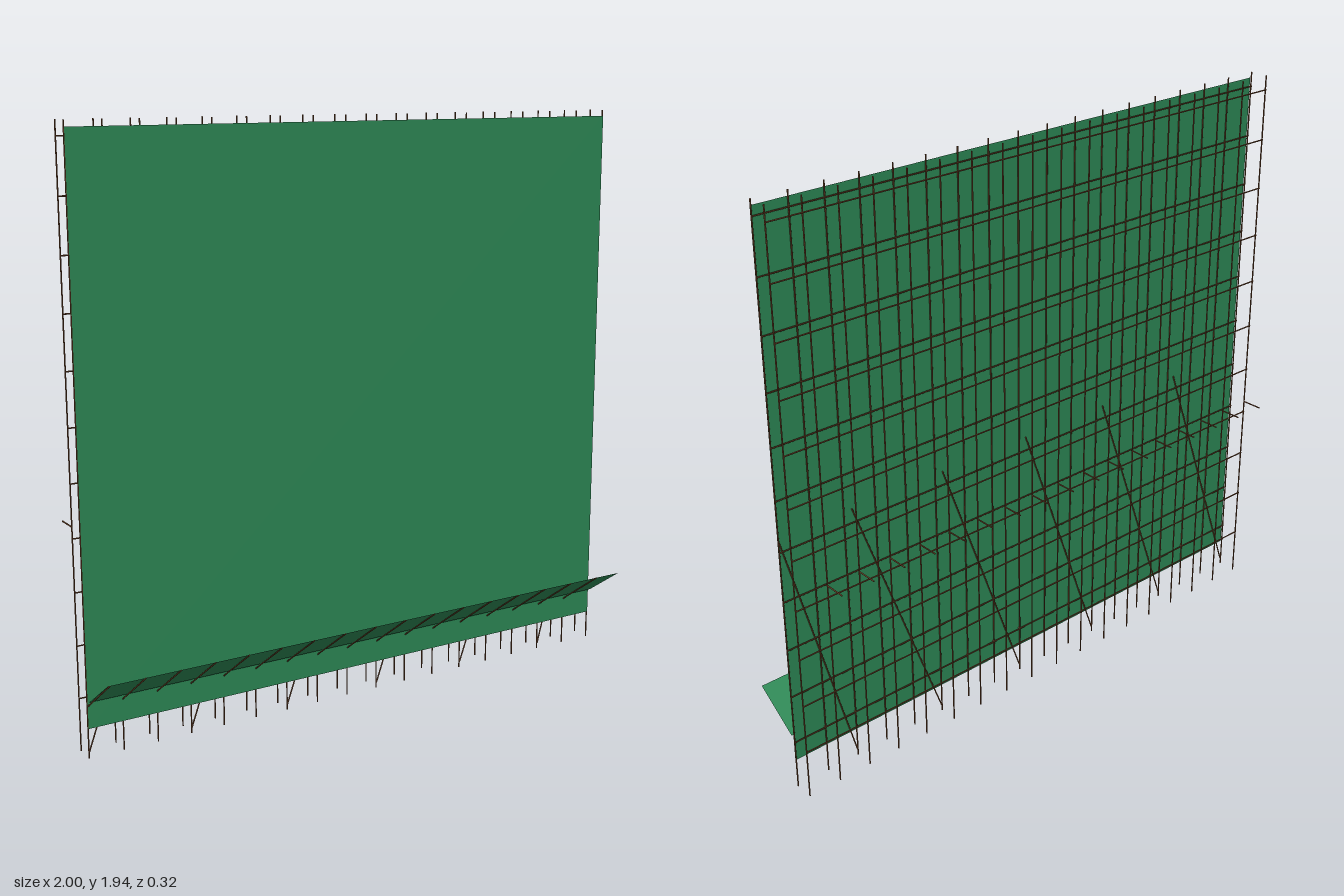
import * as THREE from 'three';

const BAY = 0.1172, BAYS = 17, X0 = -0.9976, X1 = X0 + BAY * BAYS;
const LIFT = 0.172, LEVELS = 11;
const FRONT_Z = -0.0225, BACK_Z = -0.0865, R = 0.0024;

const steel = new THREE.MeshStandardMaterial({ color: 0x6b4226 });
const mesh = new THREE.MeshStandardMaterial({ color: 0x2e8b57, side: THREE.DoubleSide });

// Straight pipe between two points
function pipe(name, a, b) {
  const from = new THREE.Vector3(...a), to = new THREE.Vector3(...b);
  const dir = to.clone().sub(from);
  const m = new THREE.Mesh(new THREE.CylinderGeometry(R, R, dir.length(), 8), steel);
  m.position.copy(from).add(to).multiplyScalar(0.5);
  m.quaternion.setFromUnitVectors(new THREE.Vector3(0, 1, 0), dir.normalize());
  m.name = name;
  return m;
}

// Flat sheet spanning the full width between two (y, z) edges
function sheet(name, y0, z0, y1, z1) {
  const m = new THREE.Mesh(new THREE.PlaneGeometry(X1 - X0, Math.hypot(y1 - y0, z1 - z0)), mesh);
  m.position.set((X0 + X1) / 2, (y0 + y1) / 2, (z0 + z1) / 2);
  m.rotation.x = Math.atan2(z1 - z0, y1 - y0);
  m.name = name;
  return m;
}

export function createModel() {
  const model = new THREE.Group();
  model.name = 'scaffold';

  // Two rows of posts with horizontal ledgers behind them
  for (const [row, z] of [['front', FRONT_Z], ['back', BACK_Z]]) {
    const frame = new THREE.Group();
    frame.name = row + 'Row';
    for (let i = 0; i <= BAYS; i++) {
      const x = X0 + i * BAY;
      frame.add(pipe('post', [x, 0, z], [x, 1.94, z]));
    }
    for (let k = 1; k <= LEVELS; k++) {
      frame.add(pipe('ledger', [X0, k * LIFT, z - 0.003], [X1, k * LIFT, z - 0.003]));
    }
    model.add(frame);
  }

  // Diagonal braces on the front row, every third bay
  for (let i = 0; i < BAYS; i += 3) {
    const x = X0 + i * BAY;
    model.add(pipe('brace', [x, 0.02, -0.02], [Math.min(x + 0.32, X1), 0.905, -0.02]));
  }

  // Wall ties at the back and outriggers carrying the catch fan
  for (let i = 0; i < BAYS; i++) {
    const x = X0 + i * BAY;
    model.add(pipe('wallTie', [x, 0.727, BACK_Z], [x, 0.727, -0.16]));
    model.add(pipe('outrigger', [x, 0.17, -0.02], [x, 0.299, 0.16]));
  }

  // Safety net and sloping catch fan
  model.add(sheet('safetyNet', 0.098, -0.0175, 1.92, -0.0175));
  model.add(sheet('catchFan', 0.188, -0.007, 0.294, 0.146));
  return model;
}
